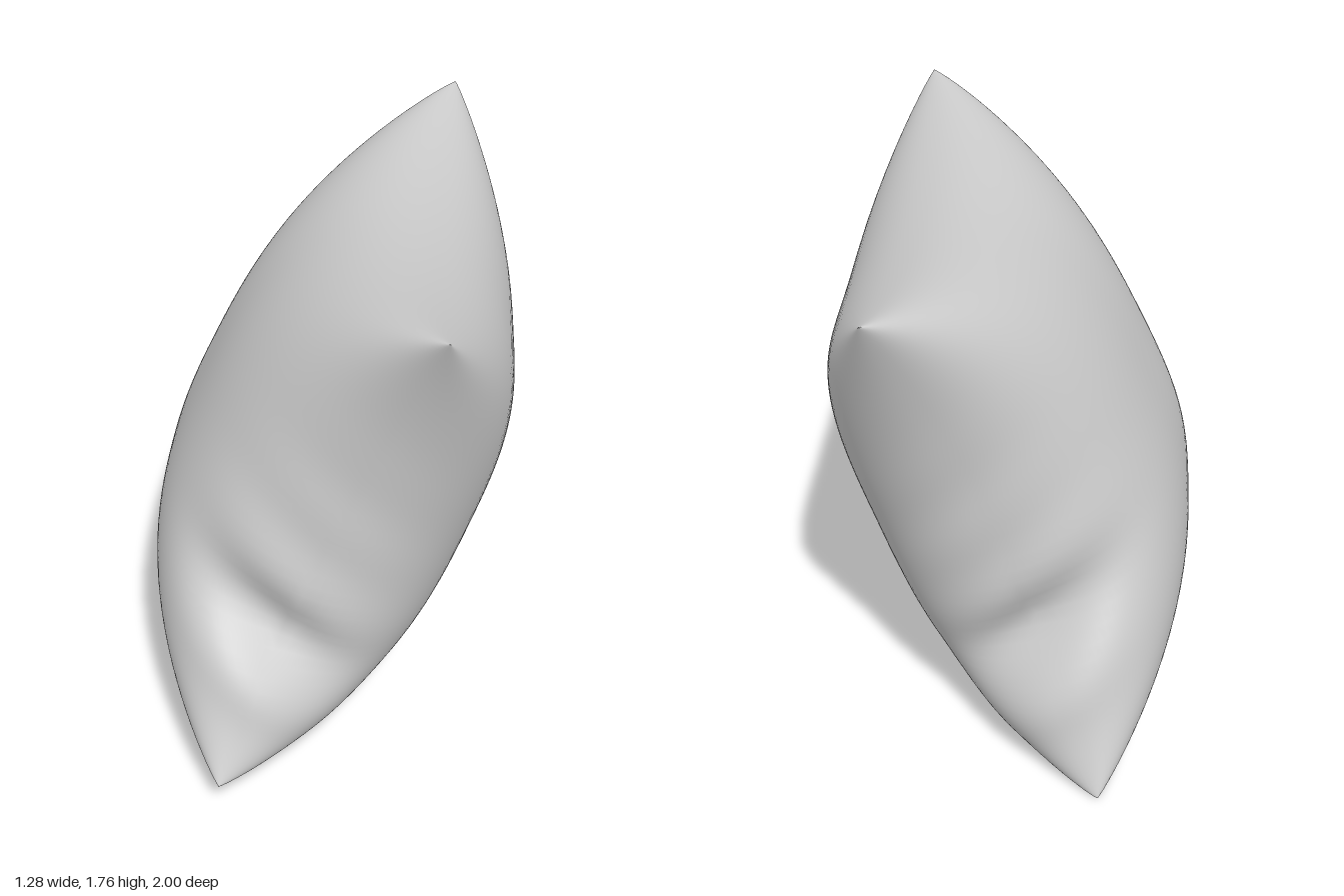
import * as THREE from 'three';
import { mergeVertices } from 'three/addons/utils/BufferGeometryUtils.js';

const N = 64; // grid steps per side of the cushion
const V3 = (x, y, z) => new THREE.Vector3(x, y, z);

// four pointed corners of the leaning cushion and the direction of its thickness
const topFront = V3(0.21, 1.76, 1.0), topBack = V3(0.56, 1.70, -0.91);
const lowFront = V3(-0.48, 0.13, 0.96), lowBack = V3(-0.13, 0.005, -1.0);
const across = topFront.clone().sub(topBack).normalize();
const thick = V3(0.923, -0.384, 0.183).normalize();

const bump = (x, centre, width) => Math.exp(-(((x - centre) / width) ** 2));

// point on the cushion: u back to front, v bottom to top (-1..1), side = +1 or -1
function cushionPoint(u, v, side) {
  // edges pull in between the corners, least along the bottom
  const pu = u * (1 - 0.215 * (1 - v * v));
  const pv = v * (1 - (v > 0 ? 0.14 : 0.07) * (1 - u * u));
  const a = (pu + 1) / 2, b = (pv + 1) / 2;
  const low = lowBack.clone().lerp(lowFront, a);
  const p = low.lerp(topBack.clone().lerp(topFront, a), b);

  // stuffing, full near the seam and a little heavier towards the bottom
  const swell = (t) => Math.max(0, 1 - Math.abs(t) ** 2.7);
  const h = 0.505 * (swell(u) * swell(v)) ** 0.46 * (1 - 0.09 * v);
  p.addScaledVector(thick, side * h);

  // creases where the lower corners fold away from the sides
  const front = u > 0;
  const n = side * h;
  const edge = Math.abs(u) ** 3;
  const reach = bump(n, front ? -0.08 : 0.02, 0.38);
  const valley = -0.085 * bump(v, (front ? -0.45 : -0.4) - 0.3 * n, 0.13);
  const ridge = 0.025 * bump(v, -0.66 - 0.3 * n, 0.11);
  const pucker = 0.006 * Math.sin(v * 19 + n * 9) * bump(v, -0.2, 0.4);
  p.addScaledVector(across, Math.sign(u) * edge * reach * (valley + ridge + pucker));
  return p;
}

function cushionGeometry() {
  const pos = [], index = [];
  const param = (i) => Math.sin((i / N - 0.5) * Math.PI); // denser at the seam
  for (const side of [1, -1]) {
    const base = pos.length / 3;
    for (let j = 0; j <= N; j++)
      for (let i = 0; i <= N; i++)
        pos.push(...cushionPoint(param(i), param(j), side).toArray());
    for (let j = 0; j < N; j++)
      for (let i = 0; i < N; i++) {
        const a = base + j * (N + 1) + i, b = a + 1, c = a + N + 1, d = c + 1;
        if (side > 0) index.push(a, c, b, b, c, d);
        else index.push(a, b, c, b, d, c);
      }
  }
  let geo = new THREE.BufferGeometry();
  geo.setAttribute('position', new THREE.Float32BufferAttribute(pos, 3));
  geo.setIndex(index);
  geo = mergeVertices(geo, 1e-5); // join both sheets along the seam
  geo.computeVertexNormals();
  geo.computeBoundingBox();
  geo.translate(0, -geo.boundingBox.min.y, 0);
  return geo;
}

export function createModel() {
  const group = new THREE.Group();
  group.name = 'pillow';
  const material = new THREE.MeshStandardMaterial({ color: 0xcccccc });
  const cushion = new THREE.Mesh(cushionGeometry(), material);
  cushion.name = 'cushion';
  group.add(cushion);
  return group;
}
